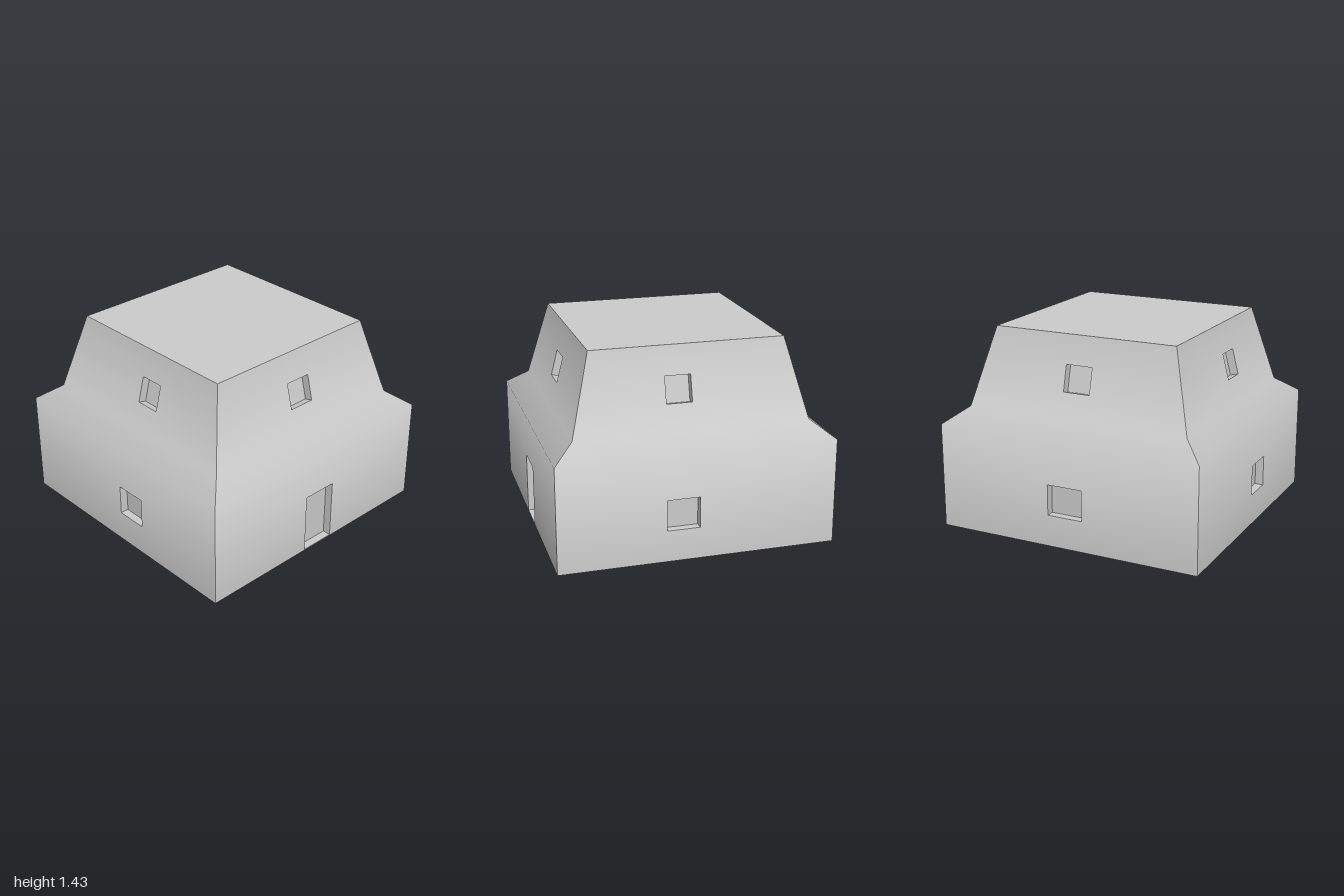
import * as THREE from 'three';

const material = new THREE.MeshStandardMaterial({ color: 0xcccccc });
const RECESS = 0.06;

// Wall profile from the ground up: [height, half width]
const PROFILE = [[0, 0.9775], [0.755, 0.9775], [0.87, 0.826], [1.43, 0.681]];
const TILTS = PROFILE.slice(1).map(([y, h], i) => Math.atan2(PROFILE[i][1] - h, y - PROFILE[i][0]));

// Lean of the smoothed normal at each profile point
const LEANS = PROFILE.map((_, i) => {
  const below = TILTS[Math.max(i - 1, 0)], above = TILTS[Math.min(i, TILTS.length - 1)];
  return (below + above) / 2;
});

// Openings per wall: [name, profile segment, centre, half width, bottom, top]
const WALLS = [
  ['front', [['Window', 0, 0.11, 0.115, 0.225, 0.445], ['UpperWindow', 2, 0.087, 0.09, 1.05, 1.23]]],
  ['left', [['Door', 0, 0.0075, 0.13, 0.006, 0.445], ['UpperWindow', 2, 0.005, 0.098, 1.05, 1.23]]],
  ['back', [['Window', 0, -0.11, 0.115, 0.225, 0.445], ['UpperWindow', 2, -0.085, 0.09, 1.05, 1.23]]],
  ['right', [['Window', 0, 0, 0.13, 0.225, 0.445], ['UpperWindow', 2, -0.007, 0.098, 1.05, 1.23]]],
];

function mesh(name, geometry) {
  const m = new THREE.Mesh(geometry, material);
  m.name = name;
  return m;
}

// Five inward-facing sides of a box, open towards +z
function recessGeometry(w, h) {
  const g = new THREE.BoxGeometry(w, h, RECESS).scale(1, 1, -1);
  g.setIndex(Array.from(g.index.array).slice(0, 30));
  g.clearGroups();
  g.computeVertexNormals();
  return g.translate(0, 0, -RECESS / 2);
}

// One sloping strip of a wall, with its openings cut out and recessed
function addStrip(wall, side, seg, openings) {
  const [y0, h0] = PROFILE[seg], [y1, h1] = PROFILE[seg + 1];
  const tilt = TILTS[seg];
  const along = (y) => (y - y0) / Math.cos(tilt);
  const place = (g) => g.rotateX(-tilt).translate(0, y0, h0);

  const shape = new THREE.Shape([
    new THREE.Vector2(-h0, 0), new THREE.Vector2(h0, 0),
    new THREE.Vector2(h1, along(y1)), new THREE.Vector2(-h1, along(y1)),
  ]);
  for (const [name, , u, half, bottom, top] of openings) {
    const a = along(bottom), b = along(top);
    shape.holes.push(new THREE.Path([
      new THREE.Vector2(u - half, a), new THREE.Vector2(u - half, b),
      new THREE.Vector2(u + half, b), new THREE.Vector2(u + half, a),
    ]));
    const recess = recessGeometry(half * 2, b - a).translate(u, (a + b) / 2, 0);
    wall.add(mesh(side + name, place(recess)));
  }

  // Normals blend smoothly up the wall but stay sharp at the corners
  const g = place(new THREE.ShapeGeometry(shape));
  const pos = g.attributes.position, nor = g.attributes.normal;
  for (let i = 0; i < pos.count; i++) {
    const t = (pos.getY(i) - y0) / (y1 - y0);
    const lean = THREE.MathUtils.lerp(LEANS[seg], LEANS[seg + 1], t);
    nor.setXYZ(i, 0, Math.sin(lean), Math.cos(lean));
  }
  wall.add(mesh(side + ['LowerWall', 'Shoulder', 'UpperWall'][seg], g));
}

export function createModel() {
  const building = new THREE.Group();
  building.name = 'building';

  // Four walls around a square plan
  WALLS.forEach(([side, openings], i) => {
    const wall = new THREE.Group();
    wall.name = side + 'Wall';
    for (let seg = 0; seg < TILTS.length; seg++) {
      addStrip(wall, side, seg, openings.filter((o) => o[1] === seg));
    }
    wall.rotation.y = i * Math.PI / 2;
    building.add(wall);
  });

  // Flat roof and underside
  const [roofY, roofHalf] = PROFILE[3], baseHalf = PROFILE[0][1];
  building.add(mesh('roof', new THREE.PlaneGeometry(roofHalf * 2, roofHalf * 2).rotateX(-Math.PI / 2).translate(0, roofY, 0)));
  building.add(mesh('base', new THREE.PlaneGeometry(baseHalf * 2, baseHalf * 2).rotateX(Math.PI / 2)));

  // The plan sits slightly turned
  building.rotation.y = -0.023;
  const model = new THREE.Group();
  model.name = 'house';
  model.add(building);
  return model;
}
